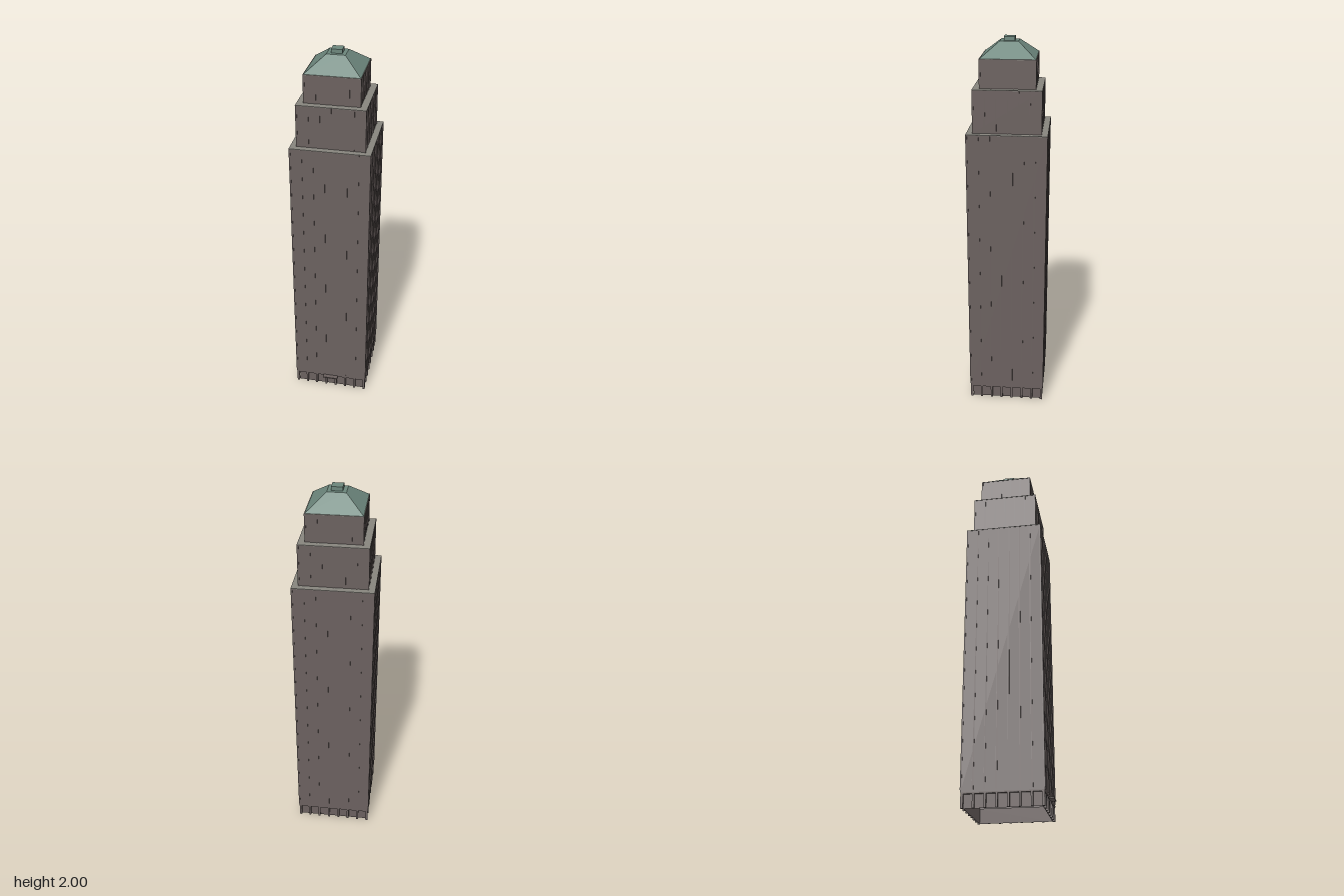
import * as THREE from 'three';

const CZ = -0.01; // tower axis, set back to leave room for the entrance canopy

export function createModel() {
  const model = new THREE.Group();
  const tower = new THREE.Group();
  tower.name = 'tower';
  tower.position.z = CZ;
  model.add(tower);

  const wall = new THREE.MeshStandardMaterial({ color: 0x6b615f, side: THREE.DoubleSide });
  wall.name = 'brown stone';
  const ledge = new THREE.MeshStandardMaterial({ color: 0x87857e });
  ledge.name = 'grey ledge';
  const copper = new THREE.MeshStandardMaterial({ color: 0x6c867c });
  copper.name = 'green copper';

  const add = (parent, name, geometry, material, x, y, z) => {
    const mesh = new THREE.Mesh(geometry, material);
    mesh.name = name;
    mesh.position.set(x, y, z);
    parent.add(mesh);
    return mesh;
  };

  // Square prism or frustum with flat faces, given half widths and heights
  const square = (name, bottom, top, y0, y1, material, open) => {
    const g = new THREE.CylinderGeometry(top * Math.SQRT2, bottom * Math.SQRT2, y1 - y0, 4, 1, open)
      .rotateY(Math.PI / 4).toNonIndexed();
    g.computeVertexNormals();
    return add(tower, name, g, material, 0, (y0 + y1) / 2, 0);
  };

  // The same arrangement on each of the four sides
  const fourSides = (name, build) => {
    for (let s = 0; s < 4; s++) {
      const side = new THREE.Group();
      side.name = name;
      side.rotation.y = s * Math.PI / 2;
      build(side);
      tower.add(side);
    }
  };

  // Hollow base: recessed wall behind an arcade of seven bays
  square('recessedBaseWall', 0.19, 0.19, 0, 0.075, wall, true);
  const bays = 7, pierW = 0.011, half = 0.203, depth = 0.013;
  fourSides('baseArcade', (side) => {
    for (let i = 0; i <= bays; i++) {
      const x = (i / bays - 0.5) * (2 * half - pierW);
      add(side, 'pier', new THREE.BoxGeometry(pierW, 0.075, depth), wall, x, 0.0375, half - depth / 2);
    }
    add(side, 'lintel', new THREE.BoxGeometry(2 * half, 0.01, depth), wall, 0, 0.073, half - depth / 2);
  });

  // Three stepped tiers with shallow vertical ribs and a grey ledge
  const tiers = [
    { name: 'mainShaft', half: 0.206, y0: 0.075, y1: 1.54, ribs: 7 },
    { name: 'middleTier', half: 0.175, y0: 1.54, y1: 1.76, ribs: 6 },
    { name: 'upperTier', half: 0.142, y0: 1.76, y1: 1.905, ribs: 5 },
  ];
  const relief = 0.002, ribW = 0.008;
  for (const t of tiers) {
    const face = t.half - relief;
    square(t.name, face, face, t.y0, t.y1, wall, true);
    fourSides(t.name + 'Ribs', (side) => {
      const y0 = t.y0 + (t.y0 < 0.1 ? 0.012 : 0);
      for (let i = 0; i <= t.ribs; i++) {
        const x = (i / t.ribs - 0.5) * (2 * t.half - ribW);
        add(side, 'rib', new THREE.BoxGeometry(ribW, t.y1 - y0, relief), wall,
          x, (t.y1 + y0) / 2, t.half - relief / 2);
      }
    });
    square(t.name + 'Ledge', t.half, t.half, t.y1 - 0.002, t.y1 + 0.001, ledge, false);
  }

  // Pyramid roof and cap
  square('roof', 0.14, 0.047, 1.905, 1.98, copper, false);
  square('roofCap', 0.028, 0.028, 1.98, 2.0, copper, false);

  // Entrance canopy on the front
  add(model, 'entranceCanopy', new THREE.BoxGeometry(0.084, 0.006, 0.03), wall, 0, 0.072, 0.203);

  return model;
}
